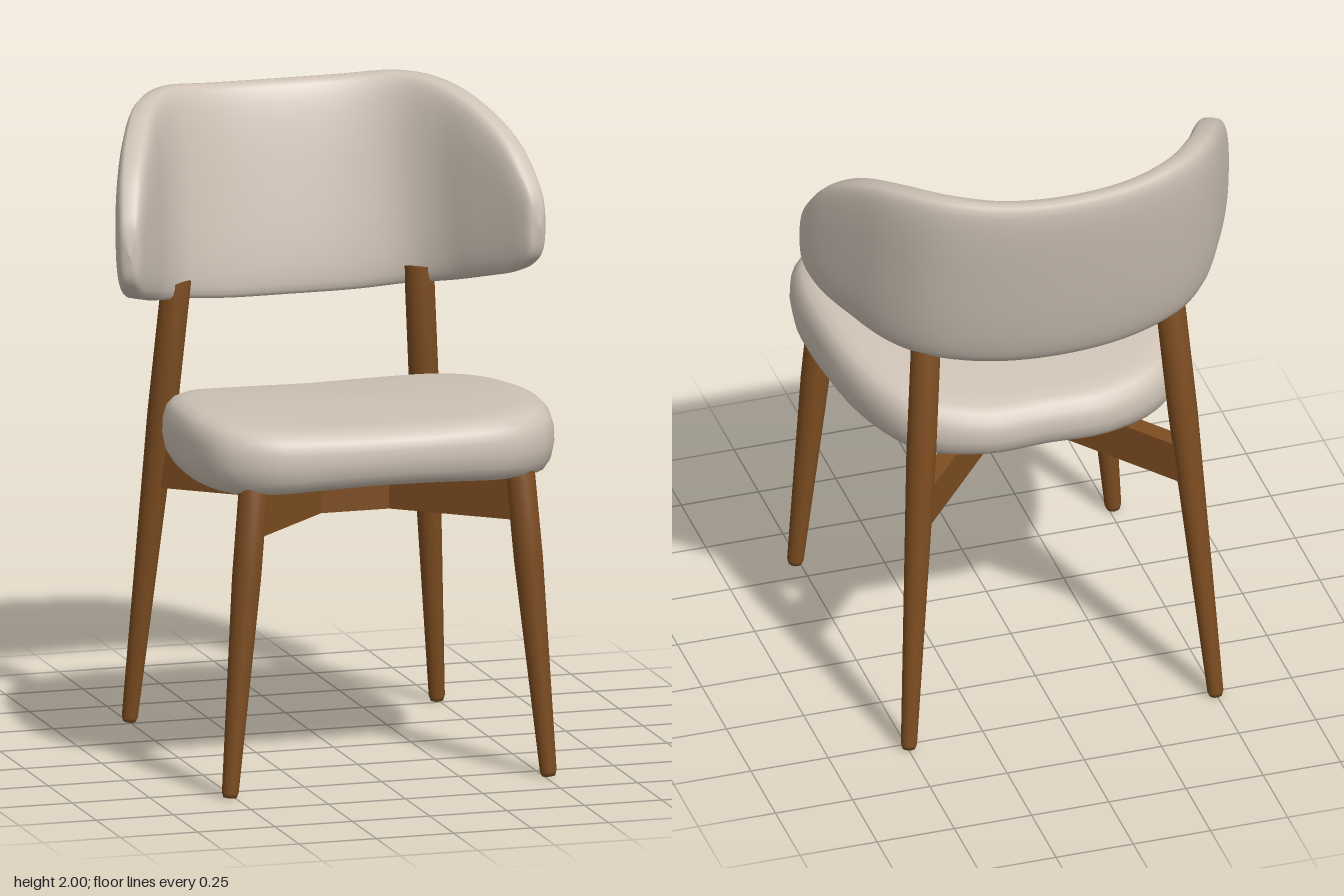
import * as THREE from 'three';

// Skin over closed rings of points; first and last rings may collapse to a point
function loft(rings) {
  const n = rings[0].length, index = [];
  for (let i = 0; i < rings.length - 1; i++) {
    for (let j = 0; j < n; j++) {
      const k = (j + 1) % n;
      const a = i * n + j, b = i * n + k, c = (i + 1) * n + k, d = (i + 1) * n + j;
      index.push(a, d, c, a, c, b);
    }
  }
  const geo = new THREE.BufferGeometry().setFromPoints(rings.flat());
  geo.setIndex(index);
  geo.computeVertexNormals();
  return geo;
}

const V = (x, y, z) => new THREE.Vector3(x, y, z);
const signedPow = (v, p) => Math.sign(v) * Math.pow(Math.abs(v), p);

// Seat cushion: rounded outline, pillowed edge, drooping to the back
function seatGeometry() {
  const half = [[0, -0.39], [0.2, -0.39], [0.4, -0.31], [0.49, -0.18], [0.55, 0], [0.58, 0.25],
    [0.575, 0.42], [0.53, 0.56], [0.4, 0.645], [0.2, 0.66], [0, 0.66]];
  const mirrored = half.slice(1, -1).reverse().map(([x, z]) => [-x, z]);
  const outline = new THREE.CatmullRomCurve3(
    [...half, ...mirrored].map(([x, z]) => V(x, 0, z)), true).getSpacedPoints(72).slice(0, 72);
  const profile = [[0, -1], [0.4, -1], [0.8, -1], [0.89, -0.95], [0.95, -0.8], [0.985, -0.5], [1, -0.1],
    [0.997, 0.3], [0.98, 0.62], [0.945, 0.83], [0.89, 0.95], [0.8, 1], [0.6, 1], [0.3, 1], [0, 1]];
  const cz = 0.13;
  return loft(profile.map(([k, v]) => outline.map(p => {
    const x = p.x * k, z = cz + (p.z - cz) * k;
    const mid = 1.05 - 0.1 * Math.max(0, 0.4 - z) ** 2;
    const thick = 0.1 + 0.012 * z;
    return V(x, mid + v * (thick + 0.09 * x * x - 0.012), z);
  })));
}

// Wrap-around backrest: upright rounded sections swept along a plan curve
function backrestGeometry() {
  // x, z, top, bottom, half thickness
  const half = [[0, -0.545, 1.98, 1.33, 0.055], [0.2, -0.525, 1.985, 1.335, 0.056],
    [0.37, -0.465, 2.0, 1.355, 0.06], [0.48, -0.36, 1.985, 1.375, 0.062],
    [0.56, -0.22, 1.93, 1.41, 0.06], [0.615, -0.11, 1.85, 1.44, 0.053],
    [0.645, -0.04, 1.76, 1.475, 0.043], [0.66, -0.002, 1.69, 1.52, 0.03], [0.665, 0.015, 1.6, 1.6, 0]];
  const all = [...half.slice(1).reverse().map(([x, ...r]) => [-x, ...r]), ...half];
  const curve = f => new THREE.CatmullRomCurve3(all.map(f), false, 'catmullrom');
  const plan = curve(([x, z]) => V(x, 0, z));
  const size = curve(([, , top, bottom, h]) => V(top, bottom, h));
  const steps = 96, sides = 36, rings = [];
  for (let i = 0; i <= steps; i++) {
    const p = plan.getPoint(i / steps), t = plan.getTangent(i / steps), s = size.getPoint(i / steps);
    const lean = 0.21 * Math.max(0, 1 - (p.x / 0.67) ** 4);
    const ring = [];
    for (let j = 0; j < sides; j++) {
      const a = j / sides * Math.PI * 2;
      const y = (s.x + s.y) / 2 - (s.x - s.y) / 2 * signedPow(Math.sin(a), 0.8);
      const n = Math.max(0, s.z) * signedPow(Math.cos(a), 0.5);
      ring.push(V(p.x + t.z * n, y, p.z - t.x * n - lean * (y - 1.655)));
    }
    rings.push(ring);
  }
  return loft(rings);
}

// Cross-shaped under-frame with chamfered inner corners
function frameGeometry() {
  const cz = 0.055, w = 0.028, inner = 0.2;
  const ends = [[0.43, 0.55], [0.42, -0.43], [-0.42, -0.43], [-0.43, 0.55]];
  const pts = [];
  for (const [x, z] of ends.reverse()) {
    const dir = new THREE.Vector2(x, cz - z), len = dir.length();
    dir.normalize();
    const at = (d, side) => new THREE.Vector2(dir.x * d - dir.y * side, dir.y * d + dir.x * side);
    pts.push(at(inner, w), at(len, w), at(len, -w), at(inner, -w));
  }
  const geo = new THREE.ExtrudeGeometry(new THREE.Shape(pts), { depth: 0.13, bevelEnabled: false });
  geo.rotateX(-Math.PI / 2);
  // slope down to the back
  const pos = geo.attributes.position;
  for (let i = 0; i < pos.count; i++) {
    pos.setY(i, pos.getY(i) + 0.785 + 0.055 * pos.getZ(i));
    pos.setZ(i, pos.getZ(i) + cz);
  }
  geo.computeVertexNormals();
  return geo;
}

// Tapered round leg between two points
function leg(name, bottom, top, rBottom, rTop, material) {
  const axis = top.clone().sub(bottom), len = axis.length();
  const profile = [[0, 0], [rBottom * 0.8, 0], [rBottom, 0.015], [rTop, len * 0.7], [rTop, len], [0, len]];
  const geo = new THREE.LatheGeometry(profile.map(([r, y]) => new THREE.Vector2(r, y)), 24);
  const mesh = new THREE.Mesh(geo, material);
  mesh.name = name;
  mesh.position.copy(bottom);
  mesh.quaternion.setFromUnitVectors(V(0, 1, 0), axis.normalize());
  return mesh;
}

export function createModel() {
  const fabric = new THREE.MeshStandardMaterial({ color: 0xcfc3b6 });
  fabric.name = 'beige fabric';
  const wood = new THREE.MeshStandardMaterial({ color: 0x7c4c20 });
  wood.name = 'brown wood';

  const model = new THREE.Group();
  model.name = 'chair';
  const add = (name, geo, material) => {
    const mesh = new THREE.Mesh(geo, material);
    mesh.name = name;
    model.add(mesh);
  };
  add('seat', seatGeometry(), fabric);
  add('backrest', backrestGeometry(), fabric);
  add('underFrame', frameGeometry(), wood);

  for (const [side, s] of [['left', 1], ['right', -1]]) {
    model.add(leg(side + 'FrontLeg', V(s * 0.515, 0, 0.58), V(s * 0.43, 0.98, 0.553), 0.026, 0.045, wood));
    model.add(leg(side + 'BackLeg', V(s * 0.497, 0, -0.525), V(s * 0.392, 1.42, -0.374), 0.025, 0.046, wood));
  }
  return model;
}
